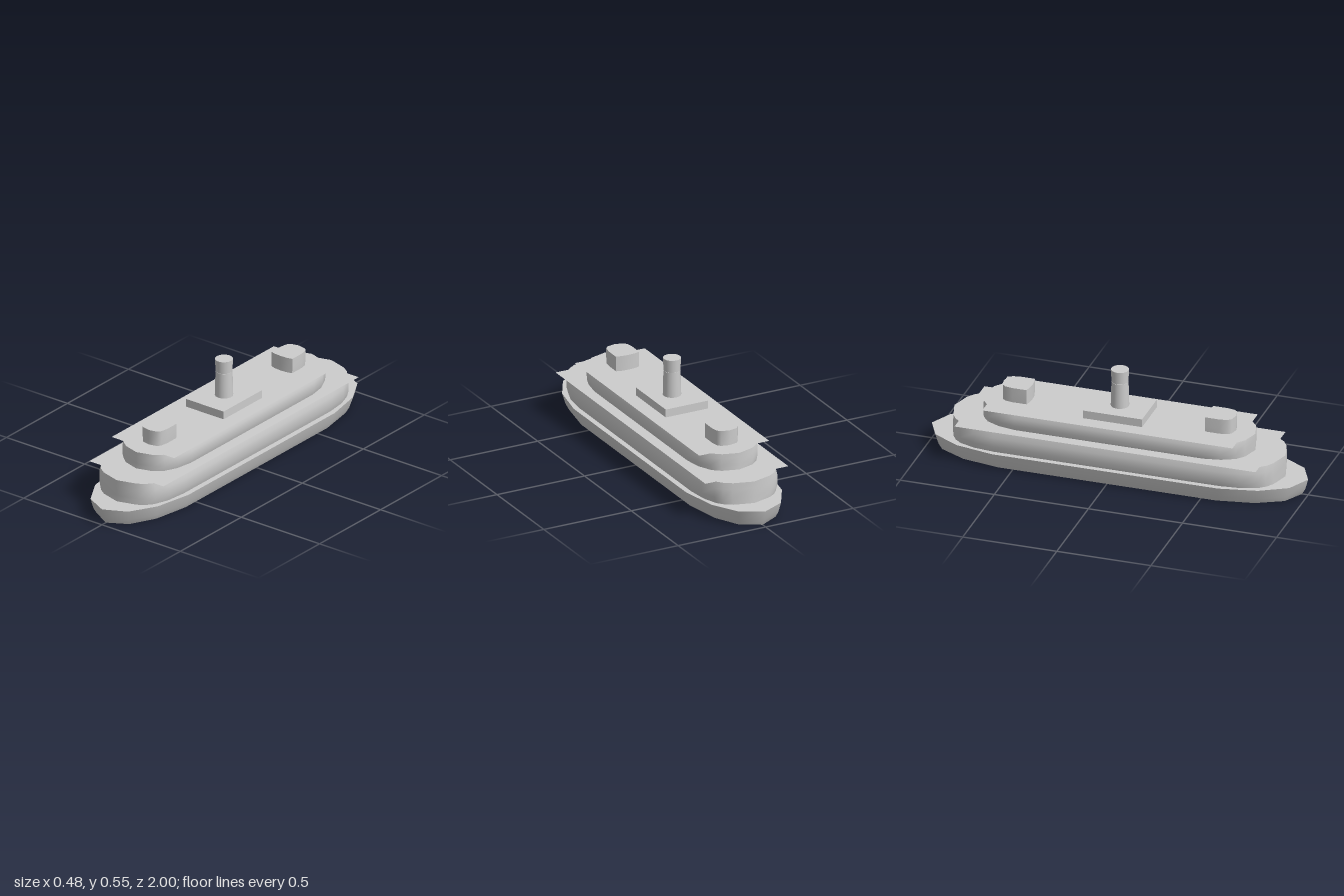
import * as THREE from 'three';
import { toCreasedNormals } from 'three/addons/utils/BufferGeometryUtils.js';

// Full plan outline from its +x, +z quarter, running from bow tip to midship
function mirrorOutline(quarter) {
  const right = [...quarter, ...quarter.slice().reverse().map(([x, z]) => [x, -z])];
  return closeOutline(right);
}

// Adds the -x half to a +x half outline
function closeOutline(right) {
  return [...right, ...right.slice(1, -1).reverse().map(([x, z]) => [-x, z])];
}

// Shell with a flat top and open bottom; each level is [y, xScale, zScale]
function shell(outline, levels) {
  const n = outline.length, pos = [], idx = [];
  for (const [y, sx, sz] of levels) for (const [x, z] of outline) pos.push(x * sx, y, z * sz);
  for (let r = 0; r < levels.length - 1; r++) {
    for (let i = 0; i < n; i++) {
      const a = r * n + i, b = r * n + (i + 1) % n;
      idx.push(a, b, b + n, a, b + n, a + n);
    }
  }
  // top cap
  const last = (levels.length - 1) * n, centre = levels.length * n;
  pos.push(0, levels[levels.length - 1][0], outline.reduce((s, p) => s + p[1], 0) / n);
  for (let i = 0; i < n; i++) idx.push(centre, last + i, last + (i + 1) % n);
  const g = new THREE.BufferGeometry();
  g.setAttribute('position', new THREE.Float32BufferAttribute(pos, 3));
  g.setIndex(idx);
  return toCreasedNormals(g, 0.95);
}

export function createModel() {
  const ship = new THREE.Group();
  ship.name = 'ferry';
  const grey = new THREE.MeshStandardMaterial({ color: 0xcccccc, side: THREE.DoubleSide });
  grey.name = 'light grey';

  function add(name, geometry, y = 0) {
    const mesh = new THREE.Mesh(geometry, grey);
    mesh.name = name;
    mesh.position.y = y;
    ship.add(mesh);
    return mesh;
  }

  // Double-ended hull, flaring upward, hollow below its deck
  const hullPlan = mirrorOutline([[0, 1], [0.12, 0.94], [0.2, 0.8], [0.24, 0.6]]);
  add('hull', shell(hullPlan, [[0, 0.865, 0.968], [0.03, 0.93, 0.985], [0.086, 1, 1]]));

  // Main cabin with gently bulged sides
  const mainPlan = mirrorOutline([[0, 0.88], [0.11, 0.85], [0.15, 0.825], [0.18, 0.79], [0.21, 0.71], [0.223, 0.6]]);
  add('mainCabin', shell(mainPlan, [[0.086, 0.945, 1], [0.12, 1, 1], [0.17, 1, 1], [0.204, 0.95, 1]]));

  // Upper cabin
  const upperPlan = mirrorOutline([[0, 0.72], [0.09, 0.695], [0.135, 0.66], [0.17, 0.59], [0.187, 0.5]]);
  add('upperCabin', shell(upperPlan, [[0.209, 0.95, 1], [0.236, 1, 1], [0.277, 1, 1], [0.3, 0.95, 1]]));

  // Flat overhanging decks
  add('passengerDeck', new THREE.PlaneGeometry(0.474, 1.6).rotateX(-Math.PI / 2), 0.209);
  add('roofDeck', new THREE.PlaneGeometry(0.4, 1.33).rotateX(-Math.PI / 2), 0.304);

  // A wheelhouse at each end, rounded side facing outward
  const housePlan = closeOutline([[0, 0.618], [0.045, 0.608], [0.06, 0.59], [0.067, 0.55], [0.067, 0.475], [0.04, 0.468], [0, 0.465]]);
  const houseLevels = [[0.304, 0.97, 1], [0.335, 1, 1], [0.385, 1, 1]];
  add('frontWheelhouse', shell(housePlan, houseLevels));
  add('rearWheelhouse', shell(housePlan, houseLevels)).rotation.y = Math.PI;

  // Funnel on its base
  add('funnelBase', new THREE.BoxGeometry(0.24, 0.043, 0.315), 0.3255);
  add('funnel', new THREE.CylinderGeometry(0.0435, 0.047, 0.134, 16), 0.414);
  add('funnelCap', new THREE.CylinderGeometry(0.046, 0.043, 0.067, 16), 0.5155);

  return ship;
}
